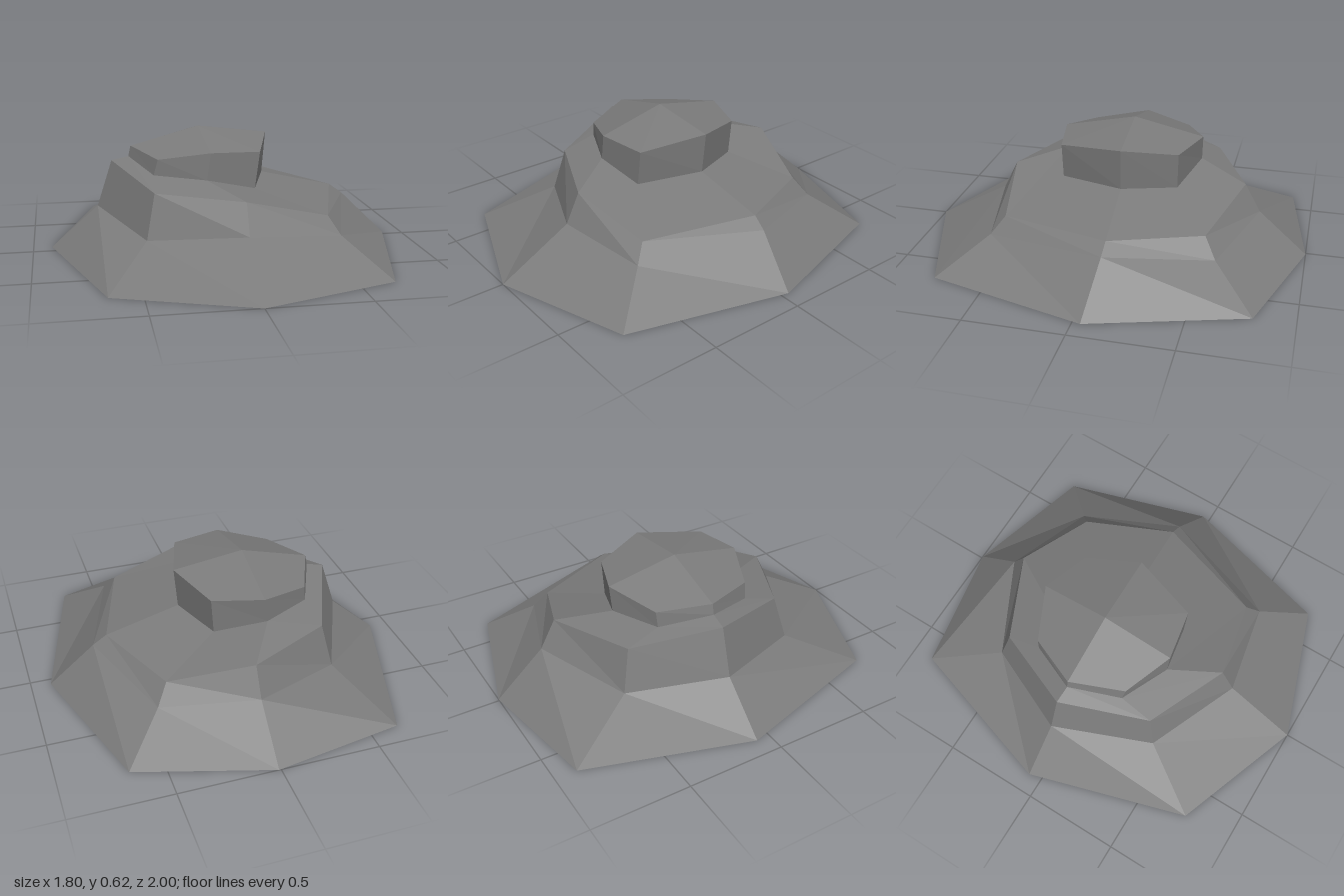
import * as THREE from 'three';

// Octagonal cross-sections, [x, y, z] running clockwise from the back
const base = [[0.01, 0, -1], [0.67, 0, -0.8], [0.9, 0, -0.04], [0.68, 0, 0.77],
  [0, 0, 1], [-0.66, 0, 0.75], [-0.905, 0, -0.07], [-0.65, 0, -0.89]];
const stepFoot = [[0.01, 0.22, -0.75], [0.47, 0.165, -0.59], [0.67, 0.225, -0.08], [0.48, 0.17, 0.54],
  [0.01, 0.21, 0.63], [-0.45, 0.155, 0.42], [-0.66, 0.215, -0.07], [-0.45, 0.16, -0.53]];
const stepRim = [[0.01, 0.365, -0.67], [0.41, 0.26, -0.53], [0.6, 0.275, -0.085], [0.43, 0.255, 0.475],
  [0.01, 0.36, 0.555], [-0.405, 0.375, 0.37], [-0.583, 0.455, -0.065], [-0.405, 0.375, -0.48]];
const capFoot = [[-0.14, 0.42, -0.42], [0.11, 0.355, -0.335], [0.215, 0.365, -0.065], [0.11, 0.355, 0.265],
  [-0.14, 0.415, 0.31], [-0.39, 0.425, 0.195], [-0.495, 0.475, -0.06], [-0.385, 0.425, -0.305]];
const capRim = [[-0.12, 0.55, -0.425], [0.125, 0.54, -0.34], [0.235, 0.58, -0.07], [0.135, 0.54, 0.265],
  [-0.12, 0.55, 0.31], [-0.37, 0.505, 0.205], [-0.483, 0.53, -0.06], [-0.375, 0.505, -0.31]];
const apex = [-0.13, 0.625, -0.06];

const rock = new THREE.MeshStandardMaterial({ color: 0x7b7b7b });
rock.name = 'grey rock';
rock.flatShading = true;
rock.side = THREE.DoubleSide; // the rock is an open-bottomed shell

function facets(name, points) {
  const geometry = new THREE.BufferGeometry();
  geometry.setAttribute('position', new THREE.Float32BufferAttribute(points.flat(), 3));
  geometry.computeVertexNormals();
  const mesh = new THREE.Mesh(geometry, rock);
  mesh.name = name;
  return mesh;
}

// Band of quads joining two cross-sections
function band(name, lower, upper) {
  const points = lower.flatMap((a, i) => {
    const j = (i + 1) % lower.length;
    return [a, upper[i], upper[j], a, upper[j], lower[j]];
  });
  return facets(name, points);
}

export function createModel() {
  const group = new THREE.Group();
  group.name = 'steppedRock';
  group.add(
    band('skirt', base, stepFoot),
    band('stepWall', stepFoot, stepRim),
    band('shelf', stepRim, capFoot),
    band('capWall', capFoot, capRim),
    // Low peaked top
    facets('capTop', capRim.flatMap((a, i) => [a, apex, capRim[(i + 1) % capRim.length]])),
  );
  return group;
}
